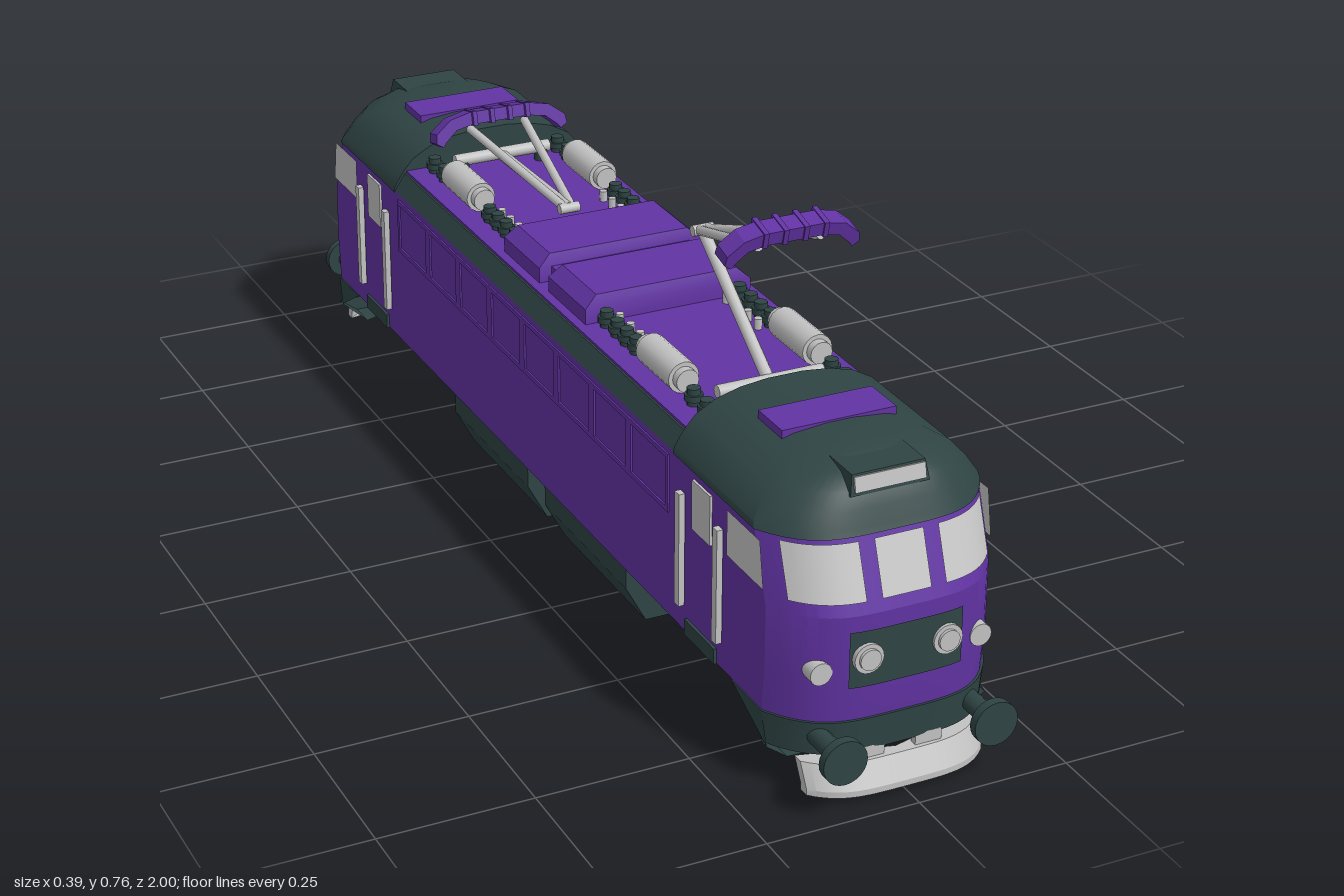
import * as THREE from 'three';
import { toCreasedNormals } from 'three/addons/utils/BufferGeometryUtils.js';

const mat = (name, color, side = THREE.FrontSide) => {
  const m = new THREE.MeshStandardMaterial({ color, side });
  m.name = name;
  return m;
};

export function createModel() {
  const purple = mat('purple', 0x6133a3);
  const dark = mat('darkGreen', 0x2f4444);
  const grey = mat('lightGrey', 0xc2c2c2);
  const glass = mat('paleGlass', 0xc8c8c8, THREE.DoubleSide);
  const panel = mat('darkPanel', 0x2f4444, THREE.DoubleSide);
  const model = new THREE.Group();
  model.name = 'locomotive';

  const add = (parent, name, geo, material, x = 0, y = 0, z = 0) => {
    const m = new THREE.Mesh(geo, material);
    m.name = name;
    m.position.set(x, y, z);
    parent.add(m);
    return m;
  };
  const box = (p, name, m, w, h, d, x, y, z) => add(p, name, new THREE.BoxGeometry(w, h, d), m, x, y, z);
  const rod = (p, name, m, a, b, r, sides = 10) => {
    const A = new THREE.Vector3(...a), B = new THREE.Vector3(...b);
    const o = add(p, name, new THREE.CylinderGeometry(r, r, A.distanceTo(B), sides), m);
    o.position.copy(A).add(B).multiplyScalar(0.5);
    o.quaternion.setFromUnitVectors(new THREE.Vector3(0, 1, 0), B.sub(A).normalize());
    return o;
  };

  // Solid through stacked rings; each ring is { y, pts: [[x, z], ...] }
  const loft = (rings, crease = 0.4) => {
    const n = rings[0].pts.length, pos = [], idx = [];
    rings.forEach(r => r.pts.forEach(([x, z]) => pos.push(x, r.y, z)));
    for (let k = 0; k < rings.length - 1; k++)
      for (let i = 0; i < n; i++) {
        const j = (i + 1) % n, a = k * n + i, b = k * n + j;
        idx.push(a, b, b + n, a, b + n, a + n);
      }
    [0, rings.length - 1].forEach(k => {
      const r = rings[k], c = pos.length / 3;
      const mean = q => r.pts.reduce((s, p) => s + p[q], 0) / n;
      pos.push(mean(0), r.y, mean(1));
      for (let i = 0; i < n; i++) {
        const a = k * n + i, b = k * n + (i + 1) % n;
        if (k) idx.push(a, b, c); else idx.push(b, a, c);
      }
    });
    const g = new THREE.BufferGeometry();
    g.setAttribute('position', new THREE.Float32BufferAttribute(pos, 3));
    g.setIndex(idx);
    return toCreasedNormals(g, crease);
  };
  const rect = (y, w, z0, z1) => ({ y, pts: [[-w, z1], [w, z1], [w, z0], [-w, z0]] });

  // Rounded nose curve, running from -x to +x
  const arc = (w, zn, drop = 0.085, n = 28) => Array.from({ length: n + 1 }, (_, i) => {
    const s = -1 + 2 * i / n;
    return [w * s, zn - drop * s ** 4];
  });
  const nose = (y, w, zn, zBack) => ({ y, pts: [...arc(w, zn), [w, zBack], [-w, zBack]] });

  // Main body with both rounded ends
  const bodyRing = ([y, zn]) => {
    const a = arc(0.185, zn);
    return { y, pts: [...a, ...a.map(([x, z]) => [-x, -z])] };
  };
  add(model, 'body', loft([[0.125, 0.938], [0.2, 0.945], [0.3, 0.945], [0.41, 0.905]].map(bodyRing), 0.3), purple);

  // Middle roof and equipment deck
  add(model, 'roofEdge', loft([rect(0.41, 0.185, -0.57, 0.57), rect(0.44, 0.166, -0.57, 0.57)]), dark);
  box(model, 'roofDeck', purple, 0.325, 0.008, 1.12, 0, 0.44, 0);
  for (const s of [-1, 1]) {
    const z = s * 0.09;
    add(model, 'roofHatch', loft([rect(0.44, 0.147, z - 0.072, z + 0.072), rect(0.47, 0.147, z - 0.072, z + 0.072),
      rect(0.49, 0.125, z - 0.065, z + 0.065)]), purple);
  }
  box(model, 'hatchBridge', purple, 0.25, 0.03, 0.05, 0, 0.455, 0);

  // Underfloor equipment box with a centre gap
  for (const [z0, z1] of [[-0.35, -0.035], [0.035, 0.35]])
    add(model, 'underfloorBox', loft([rect(0, 0.13, z0, z1), rect(0.065, 0.165, z0, z1), rect(0.13, 0.165, z0, z1)]), dark);
  add(model, 'underfloorLink', loft([rect(0.02, 0.125, -0.036, 0.036), rect(0.13, 0.15, -0.036, 0.036)]), dark);

  // Thin plate that follows the curved nose
  const noseZ = (x, y) => 0.945 - Math.max(0, y - 0.3) * 0.364 - 0.085 * (Math.abs(x) / 0.185) ** 4;
  const nosePlate = (x0, x1, y0, y1) => {
    const g = new THREE.PlaneGeometry(x1 - x0, y1 - y0, 10, 1);
    g.translate((x0 + x1) / 2, (y0 + y1) / 2, 0);
    const p = g.attributes.position;
    for (let i = 0; i < p.count; i++) p.setZ(i, noseZ(p.getX(i), p.getY(i)) + 0.005);
    g.computeVertexNormals();
    return g;
  };

  // One complete cab end, turned round for the rear
  const buildEnd = () => {
    const e = new THREE.Group();
    add(e, 'cabRoof', loft([[0.408, 0.187, 0.908], [0.418, 0.185, 0.903], [0.442, 0.17, 0.893], [0.465, 0.15, 0.88],
      [0.484, 0.116, 0.855], [0.495, 0.075, 0.815], [0.5, 0.03, 0.76]].map(([y, w, z]) => nose(y, w, z, 0.56)), 0.5), dark);
    box(e, 'roofPlate', purple, 0.19, 0.016, 0.075, 0, 0.495, 0.693);
    add(e, 'roofVisor', loft([rect(0.46, 0.065, 0.76, 0.884), rect(0.492, 0.06, 0.78, 0.877)]), dark);
    const sign = box(e, 'visorPanel', grey, 0.116, 0.024, 0.006, 0, 0.477, 0.881);
    sign.rotation.x = -0.2;

    // Windscreens, lamp panel and lamps
    add(e, 'windscreenCentre', nosePlate(-0.04, 0.04, 0.32, 0.403), glass);
    add(e, 'lampPanel', nosePlate(-0.093, 0.093, 0.185, 0.277), panel);
    for (const s of [-1, 1]) {
      add(e, 'windscreenSide', s > 0 ? nosePlate(0.065, 0.165, 0.32, 0.403) : nosePlate(-0.165, -0.065, 0.32, 0.403), glass);
      rod(e, 'headlampRim', grey, [s * 0.065, 0.233, 0.93], [s * 0.065, 0.233, 0.954], 0.024, 20);
      rod(e, 'headlampLens', grey, [s * 0.065, 0.233, 0.95], [s * 0.065, 0.233, 0.959], 0.017, 20);
      rod(e, 'markerLamp', grey, [s * 0.132, 0.213, 0.9], [s * 0.132, 0.213, 0.934], 0.018, 20);

      // Buffers
      rod(e, 'bufferShank', dark, [s * 0.125, 0.1, 0.88], [s * 0.125, 0.1, 0.988], 0.016, 14);
      rod(e, 'bufferPlate', dark, [s * 0.125, 0.1, 0.985], [s * 0.125, 0.1, 1], 0.036, 24);
      box(e, 'plowBracket', grey, 0.044, 0.03, 0.012, s * 0.048, 0.06, 0.932);

      // Cab side: window, door window, handrails and step
      const side = [[0.742, 0.326], [0.858, 0.326], [0.845, 0.4], [0.742, 0.4]];
      const pane = new THREE.ShapeGeometry(new THREE.Shape(side.map(([z, y]) => new THREE.Vector2(-z, y))));
      pane.rotateY(Math.PI / 2);
      add(e, 'cabSideWindow', pane, glass, s * 0.1885);
      box(e, 'doorWindow', grey, 0.006, 0.082, 0.06, s * 0.186, 0.355, 0.658);
      box(e, 'doorStep', dark, 0.012, 0.026, 0.1, s * 0.184, 0.137, 0.658);
      for (const z of [0.595, 0.72]) box(e, 'handrail', grey, 0.01, 0.19, 0.015, s * 0.192, 0.265, z);
    }

    // Lower skirt and plow
    add(e, 'skirt', loft([nose(0.045, 0.15, 0.9, 0.87), nose(0.07, 0.184, 0.938, 0.87),
      nose(0.125, 0.187, 0.942, 0.76)]), dark);
    const plowRing = (y, z) => ({ y, pts: [...arc(0.147, z, 0.04), ...arc(0.147, z - 0.018, 0.04).reverse()] });
    add(e, 'plow', loft([plowRing(0.01, 0.966), plowRing(0.02, 0.966), plowRing(0.056, 0.945)]), grey);

    // Roof tanks and insulators
    for (const s of [-1, 1]) {
      rod(e, 'roofTank', grey, [s * 0.115, 0.47, 0.335], [s * 0.115, 0.47, 0.45], 0.026, 16);
      for (const z of [0.328, 0.456]) rod(e, 'tankCap', grey, [s * 0.115, 0.47, z - 0.008], [s * 0.115, 0.47, z + 0.008], 0.019, 16);
      for (const z of [0.18, 0.22, 0.255, 0.29, 0.49, 0.535]) {
        rod(e, 'insulator', dark, [s * 0.118, 0.44, z], [s * 0.118, 0.472, z], 0.011, 12);
        rod(e, 'insulatorDisc', dark, [s * 0.118, 0.452, z], [s * 0.118, 0.462, z], 0.015, 12);
        if (z < 0.3) rod(e, 'terminal', grey, [s * 0.095, 0.44, z], [s * 0.095, 0.462, z], 0.007, 8);
      }
    }
    return e;
  };

  // Pantograph: base, lower arm, V-shaped upper arms and curved collector head
  const buildPantograph = (kneeY, kneeZ, headY, headZ, half) => {
    const p = new THREE.Group();
    rod(p, 'pantographBase', grey, [-0.09, 0.468, 0.512], [0.09, 0.468, 0.512], 0.011);
    for (const s of [-1, 1]) rod(p, 'baseFoot', dark, [s * 0.075, 0.44, 0.512], [s * 0.075, 0.465, 0.512], 0.012);
    rod(p, 'lowerArm', grey, [0, 0.465, 0.512], [0, kneeY, kneeZ], 0.01);
    rod(p, 'knee', grey, [-0.018, kneeY, kneeZ], [0.018, kneeY, kneeZ], 0.009);
    for (const s of [-1, 1])
      rod(p, 'upperArm', grey, [s * 0.006, kneeY, kneeZ], [s * 0.052, headY - 0.012, headZ], 0.008);
    const upper = [[1, -0.026], [0.98, -0.01], [0.75, 0.012], [0.45, 0.02]];
    const lower = [[0.42, -0.002], [0.68, -0.008], [0.85, -0.026], [0.9, -0.034]];
    const right = [...upper.slice().reverse(), ...lower.slice().reverse()];
    const half2 = right.map(([x, y]) => new THREE.Vector2(x * half, y));
    const left = half2.slice().reverse().map(v => new THREE.Vector2(-v.x, v.y));
    const g = new THREE.ExtrudeGeometry(new THREE.Shape([...half2, ...left]), { depth: 0.034, bevelEnabled: false });
    g.translate(0, 0, -0.017);
    const head = add(p, 'collectorHead', g, purple, 0, headY, headZ);
    head.rotation.x = 0.25;
    for (const x of [-0.05, -0.017, 0.017, 0.05]) {
      const rib = box(p, 'collectorRib', purple, 0.008, 0.026, 0.044, x, headY + 0.009, headZ);
      rib.rotation.x = 0.25;
    }
    return p;
  };

  const front = buildEnd(), rear = buildEnd();
  front.name = 'frontEnd';
  rear.name = 'rearEnd';
  rear.rotation.y = Math.PI;
  const raised = buildPantograph(0.628, 0.28, 0.733, 0.565, 0.112);
  const folded = buildPantograph(0.472, 0.225, 0.528, 0.53, 0.125);
  raised.name = 'raisedPantograph';
  folded.name = 'foldedPantograph';
  folded.rotation.y = Math.PI;
  model.add(front, rear, raised, folded);

  // Side panel band with eight framed bays
  for (const s of [-1, 1]) {
    for (const y of [0.305, 0.395]) box(model, 'bandRail', purple, 0.006, 0.008, 1.09, s * 0.185, y, 0);
    for (let i = 0; i <= 8; i++)
      box(model, 'bandPost', purple, 0.006, 0.09, i % 8 ? 0.02 : 0.008, s * 0.185, 0.35, -0.541 + i * 0.13525);
  }
  return model;
}
